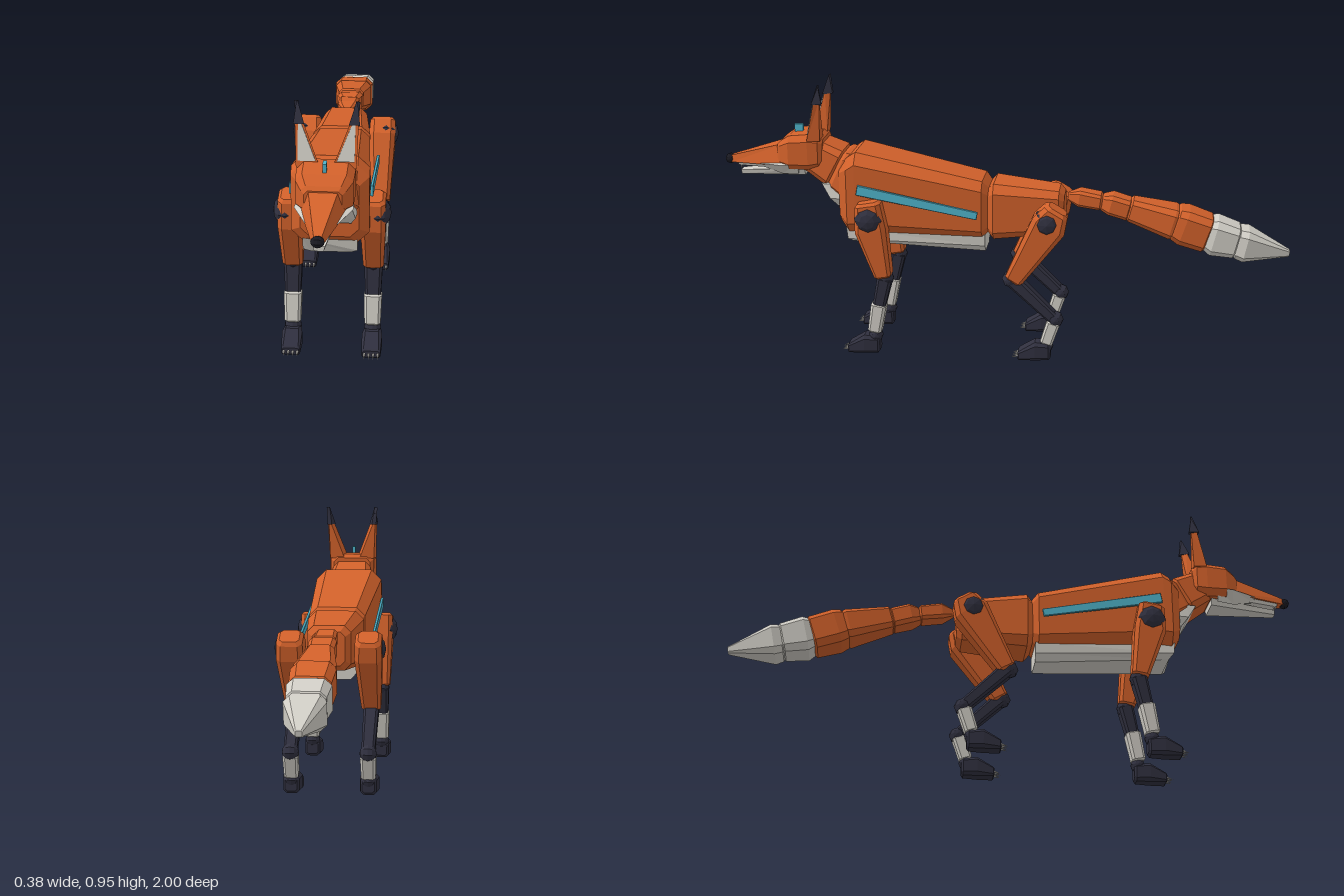
import * as THREE from 'three';

const paint = (name, color) => {
  const m = new THREE.MeshStandardMaterial({ color });
  m.name = name;
  return m;
};

export function createModel() {
  const fox = new THREE.Group();
  fox.name = 'mechanicalFox';
  const orange = paint('orange', 0xd4622b);
  const dark = paint('darkJoint', 0x30303f);
  const pale = paint('paleGrey', 0xd3d0c8);
  const blue = paint('blueLight', 0x4fb4cc);
  const black = paint('noseBlack', 0x1a1a22);
  const V = (x, y, z) => new THREE.Vector3(x, y, z);

  // Adds a faceted mesh
  function add(name, geo, mat, parent = fox) {
    const g = geo.index ? geo.toNonIndexed() : geo;
    g.computeVertexNormals();
    const mesh = new THREE.Mesh(g, mat);
    mesh.name = name;
    parent.add(mesh);
    return mesh;
  }

  // Closed skin over rings of equal point count, turned to face outward
  function loft(rings) {
    const n = rings[0].length, tris = [];
    for (let r = 0; r + 1 < rings.length; r++) {
      for (let i = 0; i < n; i++) {
        const j = (i + 1) % n, a = rings[r], b = rings[r + 1];
        tris.push([a[i], a[j], b[j]], [a[i], b[j], b[i]]);
      }
    }
    const end = rings[rings.length - 1];
    for (let i = 1; i + 1 < n; i++) {
      tris.push([rings[0][0], rings[0][i + 1], rings[0][i]], [end[0], end[i], end[i + 1]]);
    }
    let volume = 0;
    for (const [a, b, c] of tris) volume += a.dot(b.clone().cross(c));
    const pos = [];
    for (const [a, b, c] of tris) {
      for (const p of volume > 0 ? [a, b, c] : [a, c, b]) pos.push(p.x, p.y, p.z);
    }
    const g = new THREE.BufferGeometry();
    g.setAttribute('position', new THREE.Float32BufferAttribute(pos, 3));
    return g;
  }

  // Chamfered bar through stations [z, y, halfWidth, halfHeight]
  function bar(st, x = 0, upright = false, cut = 0.35, bevel = 0.25) {
    const first = st[0], last = st[st.length - 1];
    const dir = V(0, last[1] - first[1], last[0] - first[0]).normalize();
    const up = upright ? V(0, 1, 0) : V(0, dir.z, -dir.y);
    const ring = ([z, y, w, h], shift, inset) => {
      const a = w - inset, b = h - inset, c = cut * Math.min(a, b);
      return [[a, b - c], [a - c, b], [c - a, b], [-a, b - c], [-a, c - b], [c - a, -b], [a - c, -b], [a, c - b]]
        .map(([u, v]) => V(x + u, y, z).addScaledVector(up, v).addScaledVector(dir, shift));
    };
    const b0 = bevel * Math.min(first[2], first[3]), b1 = bevel * Math.min(last[2], last[3]);
    return loft([
      ring(first, 0, b0), ring(first, b0, 0),
      ...st.slice(1, -1).map(s => ring(s, 0, 0)),
      ring(last, -b1, 0), ring(last, 0, b1),
    ]);
  }

  // Faceted joint ball with its poles on the x axis
  function ball(name, x, y, z, r, parent, sx = 1, mat = dark) {
    const m = add(name, new THREE.SphereGeometry(r, 8, 6).rotateZ(Math.PI / 2), mat, parent);
    m.position.set(x, y, z);
    m.scale.x = sx;
  }

  // Trunk
  add('torso', bar([[0.57, 0.57, 0.125, 0.135], [0.51, 0.578, 0.125, 0.143], [0.045, 0.52, 0.1, 0.102]], 0, true, 0.3), orange);
  add('pelvis', bar([[0.055, 0.517, 0.099, 0.1], [-0.215, 0.515, 0.075, 0.077]], 0, true, 0.3), orange);
  add('bellyPlate', loft([
    [V(-0.088, 0.445, 0.55), V(0.088, 0.445, 0.55), V(0.088, 0.405, 0.545), V(0.065, 0.39, 0.53), V(-0.065, 0.39, 0.53), V(-0.088, 0.405, 0.545)],
    [V(-0.075, 0.43, 0.06), V(0.075, 0.43, 0.06), V(0.072, 0.39, 0.06), V(0.05, 0.365, 0.06), V(-0.05, 0.365, 0.06), V(-0.072, 0.39, 0.06)],
  ]), pale);

  // Neck rings and pale bib
  add('neckBase', bar([[0.52, 0.615, 0.095, 0.085], [0.595, 0.65, 0.085, 0.075]], 0, false, 0.3), orange);
  add('neckTop', bar([[0.58, 0.645, 0.08, 0.07], [0.68, 0.7, 0.07, 0.06]], 0, false, 0.3), orange);
  add('bib', loft([
    [V(-0.075, 0.6, 0.635), V(0.075, 0.6, 0.635), V(0.08, 0.6, 0.6), V(-0.08, 0.6, 0.6)],
    [V(-0.085, 0.55, 0.605), V(0.085, 0.55, 0.605), V(0.09, 0.55, 0.55), V(-0.09, 0.55, 0.55)],
    [V(-0.07, 0.52, 0.58), V(0.07, 0.52, 0.58), V(0.075, 0.52, 0.54), V(-0.075, 0.52, 0.54)],
  ]), pale);

  // Head
  const head = new THREE.Group();
  head.name = 'head';
  fox.add(head);
  add('skull', bar([[0.63, 0.713, 0.085, 0.058], [0.68, 0.71, 0.09, 0.064], [0.75, 0.707, 0.088, 0.06], [0.795, 0.7, 0.068, 0.043]], 0, true), orange, head);
  const muzzle = (z, y0, w0, y1, w1) => [V(-w0, y0, z), V(w0, y0, z), V(w1, y1, z), V(-w1, y1, z)];
  add('snout', loft([muzzle(0.76, 0.738, 0.05, 0.66, 0.076), muzzle(0.975, 0.676, 0.012, 0.652, 0.017)]), orange, head);
  add('upperLip', loft([muzzle(0.74, 0.662, 0.074, 0.645, 0.062), muzzle(0.95, 0.656, 0.02, 0.642, 0.014)]), pale, head);
  add('lowerJaw', loft([muzzle(0.7, 0.645, 0.055, 0.622, 0.045), muzzle(0.94, 0.626, 0.018, 0.61, 0.014)]), pale, head);
  ball('nose', 0, 0.662, 0.981, 0.019, head, 1.1, black);
  add('crownLight', new THREE.BoxGeometry(0.012, 0.035, 0.03), blue, head).position.set(0, 0.778, 0.727);

  // Leg pieces shared by front and hind feet
  function paw(x, z, parent) {
    add('paw', bar([[z - 0.115, 0.033, 0.028, 0.03], [z - 0.06, 0.034, 0.034, 0.034], [z, 0.016, 0.031, 0.016]], x, true), dark, parent);
    for (let i = 0; i < 4; i++) {
      const claw = add('claw', new THREE.ConeGeometry(0.006, 0.034, 5).rotateX(Math.PI / 2 + 0.3), pale, parent);
      claw.position.set(x + (i - 1.5) * 0.015, 0.014, z + 0.006);
    }
  }

  for (const s of [1, -1]) {
    const side = s > 0 ? 'left' : 'right';
    const group = name => {
      const g = new THREE.Group();
      g.name = side + name;
      fox.add(g);
      return g;
    };

    // Cheek tuft and tooth
    add('cheekTuft', loft([
      [V(s * 0.058, 0.672, 0.72), V(s * 0.082, 0.672, 0.72), V(s * 0.06, 0.63, 0.72)],
      [V(s * 0.05, 0.67, 0.8), V(s * 0.09, 0.665, 0.77), V(s * 0.05, 0.625, 0.78)],
      [V(s * 0.03, 0.66, 0.87), V(s * 0.05, 0.66, 0.86), V(s * 0.03, 0.645, 0.86)],
    ]), pale, head);
    add('tooth', new THREE.ConeGeometry(0.005, 0.022, 5).rotateX(Math.PI), pale, head).position.set(s * 0.012, 0.637, 0.94);

    // Ear: shell, pale inner plate, dark tip
    const ear = group('Ear');
    const slice = (y, xi, xo, zf, zb) => [V(s * xi, y, zf), V(s * xo, y, zf), V(s * (xo - 0.006), y, zb), V(s * (xi + 0.012), y, zb)];
    add('earShell', loft([slice(0.755, 0.018, 0.092, 0.68, 0.635), slice(0.9, 0.074, 0.097, 0.648, 0.63)]), orange, ear);
    add('earInner', loft([
      [V(s * 0.032, 0.777, 0.676), V(s * 0.086, 0.777, 0.676), V(s * 0.087, 0.892, 0.65), V(s * 0.078, 0.892, 0.65)],
      [V(s * 0.032, 0.777, 0.679), V(s * 0.086, 0.777, 0.679), V(s * 0.087, 0.892, 0.653), V(s * 0.078, 0.892, 0.653)],
    ]), pale, ear);
    add('earTip', loft([slice(0.888, 0.067, 0.101, 0.657, 0.622), slice(0.955, 0.088, 0.092, 0.635, 0.631)]), dark, ear);

    // Flank light strip
    add(side + 'FlankLight', bar([[0.5, 0.597, 0.005, 0.018], [0.08, 0.518, 0.005, 0.014]], s * 0.13), blue);

    // Front leg
    const front = group('FrontLeg'), x = s * 0.134;
    ball('shoulderJoint', s * 0.15, 0.5, 0.455, 0.053, front, 0.8);
    add('upperArm', bar([[0.46, 0.56, 0.04, 0.045], [0.45, 0.46, 0.041, 0.055], [0.41, 0.285, 0.034, 0.03]], x), orange, front);
    ball('elbowJoint', x, 0.28, 0.405, 0.031, front);
    add('forearm', bar([[0.405, 0.285, 0.03, 0.026], [0.43, 0.17, 0.026, 0.022]], x), dark, front);
    add('paleCuff', bar([[0.428, 0.187, 0.03, 0.027], [0.447, 0.078, 0.027, 0.024]], x), pale, front);
    ball('wristJoint', x, 0.064, 0.444, 0.026, front, 1.1);
    paw(x, 0.543, front);

    // Hind leg
    const hind = group('HindLeg');
    ball('hipJoint', s * 0.147, 0.51, -0.165, 0.053, hind, 0.85);
    add('thigh', bar([[-0.2, 0.555, 0.045, 0.045], [-0.17, 0.5, 0.047, 0.062], [-0.045, 0.29, 0.034, 0.032]], x), orange, hind);
    ball('kneeJoint', x, 0.295, -0.038, 0.031, hind);
    add('shin', bar([[-0.04, 0.298, 0.027, 0.025], [-0.19, 0.155, 0.023, 0.02]], x), dark, hind);
    ball('hockJoint', x, 0.152, -0.194, 0.03, hind);
    add('paleHock', bar([[-0.19, 0.145, 0.027, 0.024], [-0.163, 0.06, 0.025, 0.022]], x), pale, hind);
    ball('ankleJoint', x, 0.05, -0.163, 0.026, hind, 1.1);
    paw(x, -0.065, hind);
  }

  // Tail: overlapping segments that swell and then taper
  const tail = new THREE.Group();
  tail.name = 'tail';
  fox.add(tail);
  [
    [orange, [[-0.225, 0.563, 0.016, 0.014], [-0.265, 0.56, 0.036, 0.029], [-0.345, 0.548, 0.038, 0.027]]],
    [orange, [[-0.34, 0.548, 0.032, 0.026], [-0.375, 0.542, 0.046, 0.036], [-0.445, 0.522, 0.044, 0.036]]],
    [orange, [[-0.435, 0.527, 0.046, 0.04], [-0.59, 0.485, 0.068, 0.054], [-0.61, 0.48, 0.066, 0.052]]],
    [orange, [[-0.59, 0.487, 0.066, 0.056], [-0.63, 0.473, 0.072, 0.063], [-0.725, 0.442, 0.066, 0.061]]],
    [pale, [[-0.7, 0.449, 0.062, 0.054], [-0.735, 0.44, 0.07, 0.064], [-0.825, 0.419, 0.062, 0.054]]],
    [pale, [[-0.805, 0.421, 0.06, 0.052], [-0.845, 0.412, 0.066, 0.056], [-0.998, 0.381, 0.013, 0.012]]],
  ].forEach(([mat, st], i) => add('tailSegment' + (i + 1), bar(st), mat, tail));

  return fox;
}
